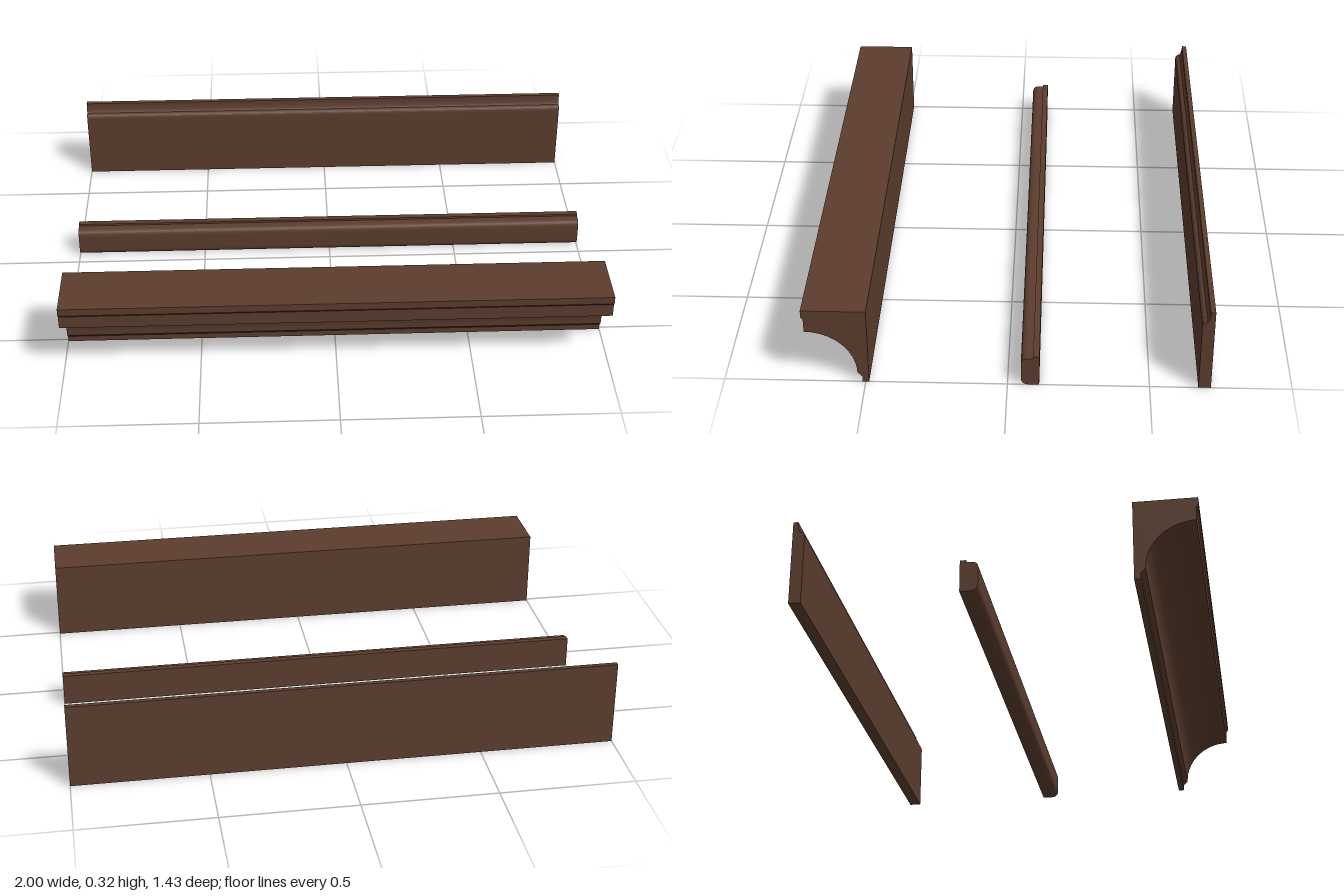
import * as THREE from 'three';

const LENGTH = 2;

// Sweeps a side profile, drawn as (z, y), along the x axis.
function moulding(name, profile, material) {
  const geometry = new THREE.ExtrudeGeometry(profile, {
    depth: LENGTH, bevelEnabled: false, curveSegments: 12,
  });
  geometry.rotateY(-Math.PI / 2);
  geometry.translate(LENGTH / 2, 0, 0);
  const mesh = new THREE.Mesh(geometry, material);
  mesh.name = name;
  return mesh;
}

// Crown: square back and top, hollow cove on the front.
function crownProfile() {
  const s = new THREE.Shape();
  s.moveTo(0.488, 0);
  s.lineTo(0.511, 0);
  s.lineTo(0.511, 0.022);
  s.lineTo(0.528, 0.04);
  s.absellipse(0.707, 0.04, 0.179, 0.172, Math.PI, Math.PI / 2, true, 0);
  s.lineTo(0.707, 0.262);
  s.lineTo(0.715, 0.272);
  s.lineTo(0.715, 0.3);
  s.lineTo(0.488, 0.3);
  s.closePath();
  return s;
}

// Rail: rounded front with a small raised lip at the back.
function railProfile() {
  const s = new THREE.Shape();
  s.moveTo(-0.112, 0);
  s.lineTo(-0.077, 0);
  s.quadraticCurveTo(-0.047, 0, -0.047, 0.03);
  s.lineTo(-0.047, 0.087);
  s.quadraticCurveTo(-0.047, 0.112, -0.072, 0.112);
  s.lineTo(-0.09, 0.112);
  s.lineTo(-0.09, 0.12);
  s.lineTo(-0.112, 0.12);
  s.closePath();
  return s;
}

// Baseboard: flat face, rounded shoulder, small cove up to a thin top edge.
function baseboardProfile() {
  const s = new THREE.Shape();
  s.moveTo(-0.715, 0);
  s.lineTo(-0.671, 0);
  s.lineTo(-0.671, 0.262);
  s.quadraticCurveTo(-0.672, 0.279, -0.688, 0.281);
  s.quadraticCurveTo(-0.695, 0.29, -0.697, 0.31);
  s.lineTo(-0.697, 0.322);
  s.lineTo(-0.715, 0.322);
  s.closePath();
  return s;
}

export function createModel() {
  const group = new THREE.Group();
  group.name = 'woodMouldings';
  const wood = new THREE.MeshStandardMaterial({ color: 0x5c3d2e });
  wood.name = 'dark brown wood';
  group.add(
    moulding('crownMoulding', crownProfile(), wood),
    moulding('chairRail', railProfile(), wood),
    moulding('baseboard', baseboardProfile(), wood),
  );
  return group;
}
